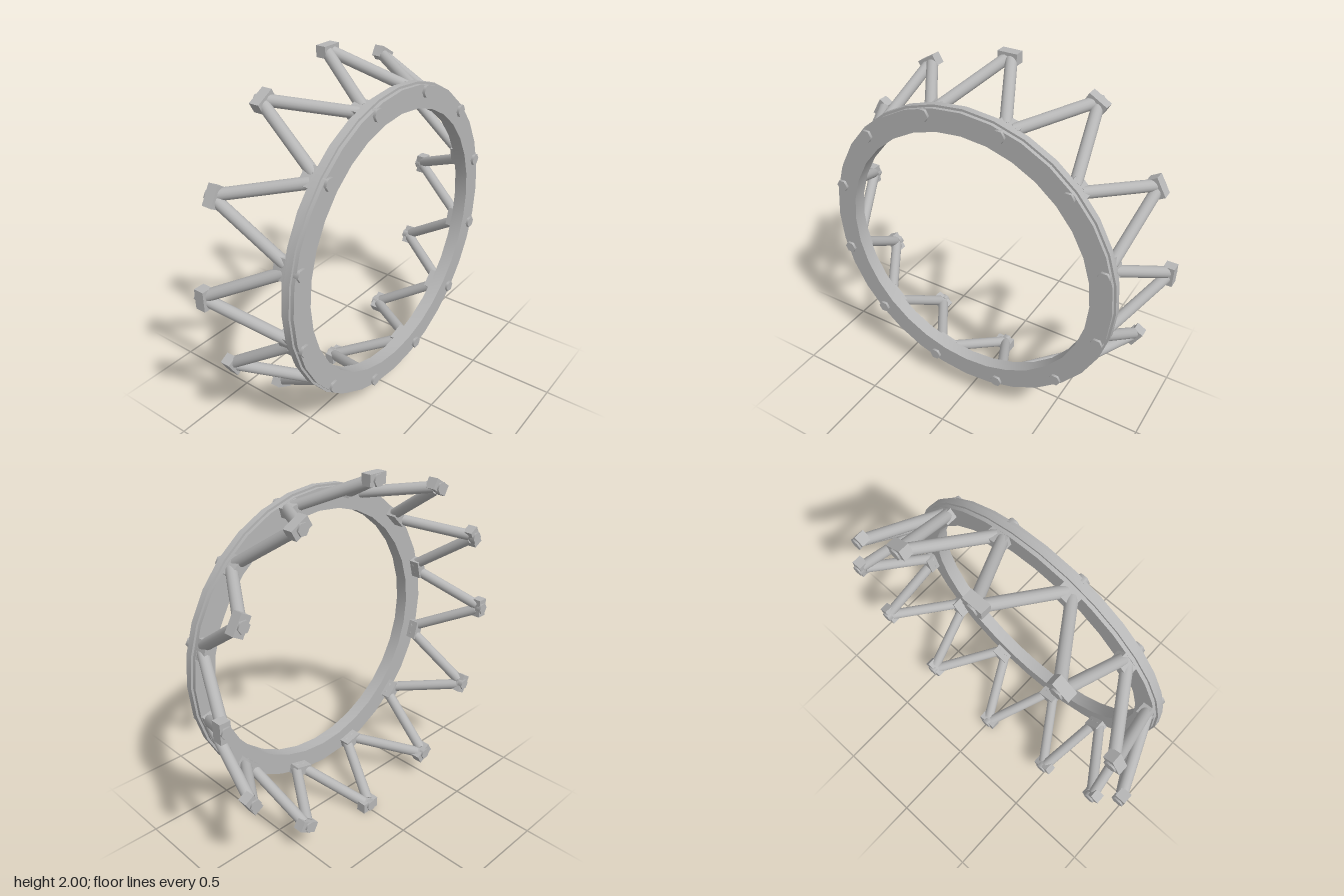
import * as THREE from 'three';
import { toCreasedNormals } from 'three/addons/utils/BufferGeometryUtils.js';

export function createModel() {
  const steel = new THREE.MeshStandardMaterial({ color: 0xb6b6b6 });
  steel.name = 'grey steel';
  const model = new THREE.Group();
  model.name = 'trussRing';

  const add = (name, geometry, parent) => {
    const mesh = new THREE.Mesh(geometry, steel);
    mesh.name = name;
    parent.add(mesh);
    return mesh;
  };

  // Flat ring with a slightly proud middle layer on its outer rim
  const profile = [
    [0.73, 0.165], [0.85, 0.165], [0.85, 0.185], [0.862, 0.185],
    [0.862, 0.22], [0.85, 0.22], [0.85, 0.24], [0.73, 0.24], [0.73, 0.165],
  ].map(([r, z]) => new THREE.Vector2(r, z));
  const ringGeometry = new THREE.LatheGeometry(profile, 32).rotateX(Math.PI / 2);
  // The profile is closed, so flat normals are rebuilt with crisp rims
  ringGeometry.deleteAttribute('normal');
  const ring = add('ring', toCreasedNormals(ringGeometry, 0.5), model);
  ring.position.y = 1;

  const bolt = new THREE.CylinderGeometry(0.034, 0.034, 0.03, 6).rotateX(Math.PI / 2).rotateZ(Math.PI / 2);
  const outerBlock = new THREE.BoxGeometry(0.11, 0.06, 0.058);
  const innerBlock = new THREE.BoxGeometry(0.11, 0.055, 0.065);

  // Position on the ring: angle clockwise from the top, radius, tangential shift
  const polar = (a, r, z, t = 0) => new THREE.Vector3(
    Math.sin(a) * r + Math.cos(a) * t, 1 + Math.cos(a) * r - Math.sin(a) * t, z);

  const addStrut = (from, to, parent) => {
    const dir = to.clone().sub(from);
    const strut = add('strut', new THREE.CylinderGeometry(0.031, 0.031, dir.length(), 16), parent);
    strut.position.copy(from).addScaledVector(dir, 0.5);
    strut.quaternion.setFromUnitVectors(new THREE.Vector3(0, 1, 0), dir.normalize());
  };

  const step = Math.PI / 6;
  for (let i = 0; i < 12; i++) {
    const bay = new THREE.Group();
    bay.name = 'trussBay';
    model.add(bay);
    const a = i * step;
    const b = a + step / 2;

    // Back joint block and its bolt
    const tip = add('tipBlock', outerBlock, bay);
    tip.position.copy(polar(a, 0.97, -0.216));
    tip.rotation.z = -a;
    add('tipBolt', bolt, bay).position.copy(polar(a, 0.966, -0.24));

    // Ring joint block and its bolt through the front
    const foot = add('footBlock', innerBlock, bay);
    foot.position.copy(polar(b, 0.818, 0.135));
    foot.rotation.z = -b;
    add('footBolt', bolt, bay).position.copy(polar(b, 0.818, 0.24));

    // Two struts spreading from the tip to the neighbouring feet
    for (const s of [-1, 1]) {
      addStrut(polar(a, 0.96, -0.205, s * 0.015), polar(a + s * step / 2, 0.818, 0.15, -s * 0.02), bay);
    }
  }
  return model;
}
